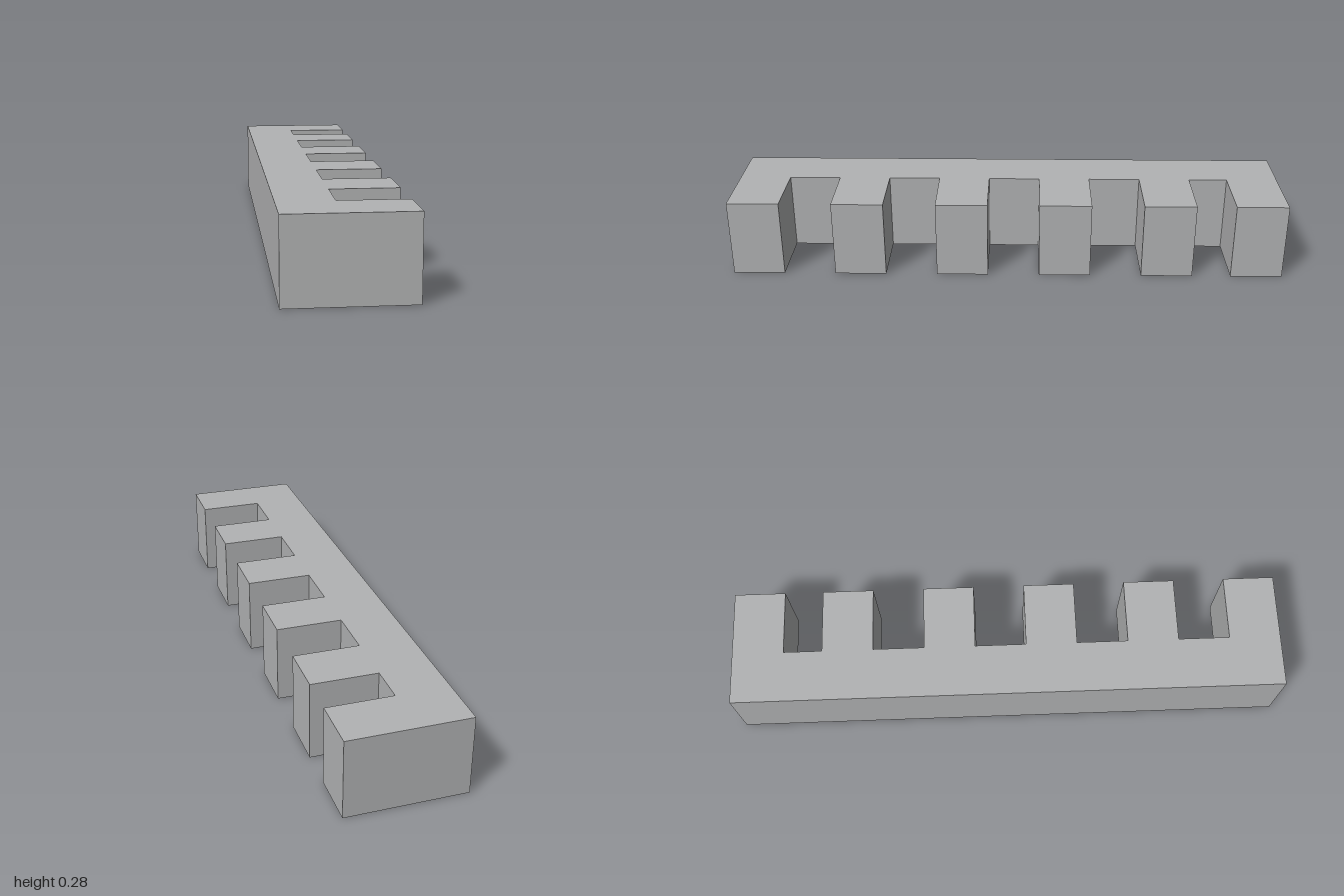
import * as THREE from 'three';

export function createModel() {
  const group = new THREE.Group();
  group.name = 'combBlock';
  const grey = new THREE.MeshStandardMaterial({ color: 0xb2b3b4 });
  grey.name = 'plain grey';

  // One unit is a tooth's thickness; the rearmost gap is three quarters of a unit
  const u = 2 / 10.75;
  const height = 1.5 * u;
  const back = -1.125 * u, tip = 1.125 * u, root = back + u;

  // Comb outline in plan: shape y is -z, so it runs from the front to the rear
  const outline = new THREE.Shape();
  outline.moveTo(back, -1);
  let s = -1;
  for (let i = 0; i < 6; i++) {
    outline.lineTo(tip, s);
    outline.lineTo(tip, s + u);
    if (i === 5) break;
    const next = s + u + (i === 4 ? 0.75 * u : u);
    outline.lineTo(root, s + u);
    outline.lineTo(root, next);
    s = next;
  }
  outline.lineTo(back, 1);
  outline.closePath();

  // Spine and teeth as one solid, extruded upwards from the ground
  const geometry = new THREE.ExtrudeGeometry(outline, { depth: height, bevelEnabled: false });
  geometry.rotateX(-Math.PI / 2);
  const comb = new THREE.Mesh(geometry, grey);
  comb.name = 'toothedBar';
  group.add(comb);
  return group;
}
